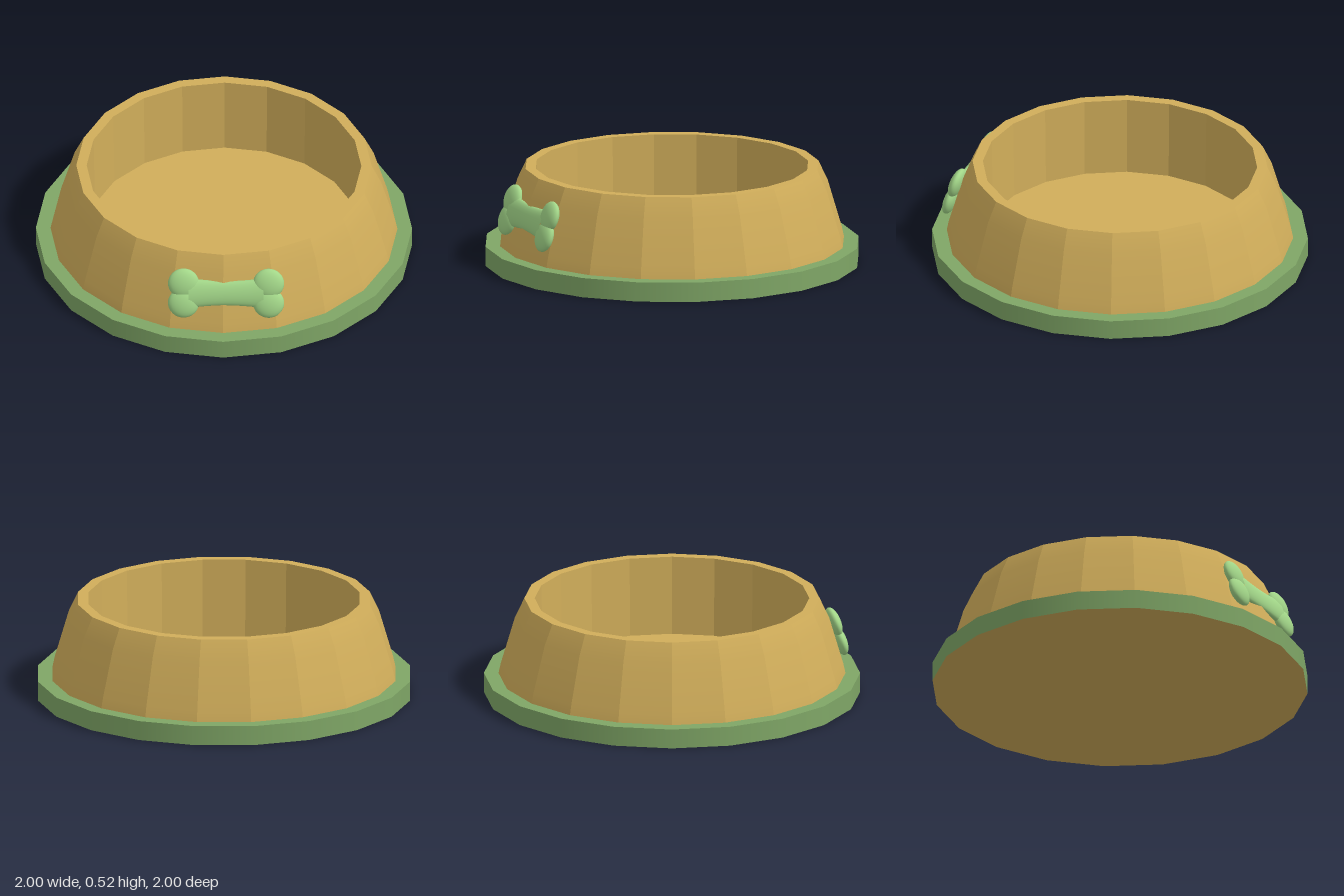
import * as THREE from 'three';

const SIDES = 20;
const STEP = (Math.PI * 2) / SIDES;
const mat = (color) => new THREE.MeshStandardMaterial({ color });

// Surface of revolution; faceted = flat around the axis, smooth along the profile
function turned(name, profile, material, faceted) {
  let geo = new THREE.LatheGeometry(profile.map(([r, y]) => new THREE.Vector2(r, y)), SIDES);
  if (faceted) {
    geo = geo.toNonIndexed();
    const p = geo.attributes.position, n = geo.attributes.normal;
    for (let i = 0; i < p.count; i += 3) {
      const cx = p.getX(i) + p.getX(i + 1) + p.getX(i + 2);
      const cz = p.getZ(i) + p.getZ(i + 1) + p.getZ(i + 2);
      const phi = (Math.floor(Math.atan2(cx, cz) / STEP) + 0.5) * STEP;
      const dx = Math.sin(phi), dz = Math.cos(phi);
      for (let k = i; k < i + 3; k++) {
        const side = Math.sign(n.getX(k) * dx + n.getZ(k) * dz);
        const h = side * Math.hypot(n.getX(k), n.getZ(k));
        n.setXYZ(k, dx * h, n.getY(k), dz * h);
      }
    }
  }
  const mesh = new THREE.Mesh(geo, material);
  mesh.name = name;
  return mesh;
}

// Bone ornament: waisted shaft with two flattened knobs at each end
function makeBone(material) {
  const bone = new THREE.Group();
  bone.name = 'boneOrnament';

  const outline = [];
  for (let i = 0; i <= 12; i++) {
    const t = i / 6 - 1;
    outline.push(new THREE.Vector2(0.069 + 0.016 * t * t, t * 0.2));
  }
  const shaftGeo = new THREE.LatheGeometry(outline, 24);
  shaftGeo.rotateZ(-Math.PI / 2);
  shaftGeo.scale(1, 1, 0.38);
  const shaft = new THREE.Mesh(shaftGeo, material);
  shaft.name = 'boneShaft';
  bone.add(shaft);

  const knobGeo = new THREE.SphereGeometry(0.083, 24, 16);
  for (const sx of [-1, 1]) {
    for (const sy of [-1, 1]) {
      const knob = new THREE.Mesh(knobGeo, material);
      knob.name = 'boneKnob';
      knob.scale.z = 0.42;
      knob.position.set(sx * 0.226, sy * 0.055, 0);
      bone.add(knob);
    }
  }
  // Lean back against the sloping wall
  bone.position.set(0.015, 0.318, 0.852);
  bone.rotation.x = -0.3;
  return bone;
}

export function createModel() {
  const model = new THREE.Group();
  model.name = 'petBowl';
  const tan = mat(0xd0ad5a);
  const green = mat(0x7fa666);
  const lightGreen = mat(0xa2d688);

  // Base band
  model.add(
    turned('baseSide', [[1, 0], [1, 0.105]], green),
    turned('baseTop', [[1, 0.105], [0.9, 0.105]], green),
    turned('underside', [[0, 0], [1, 0]], tan),
  );

  // Bowl body
  model.add(
    turned('outerWall', [[0.922, 0.105], [0.91, 0.16], [0.835, 0.415], [0.785, 0.522]], tan, true),
    turned('rim', [[0.785, 0.522], [0.73, 0.522]], tan),
    turned('innerWall', [[0.73, 0.522], [0.722, 0.095]], tan, true),
    turned('bowlFloor', [[0.722, 0.095], [0, 0.095]], tan),
  );

  model.add(makeBone(lightGreen));
  return model;
}
